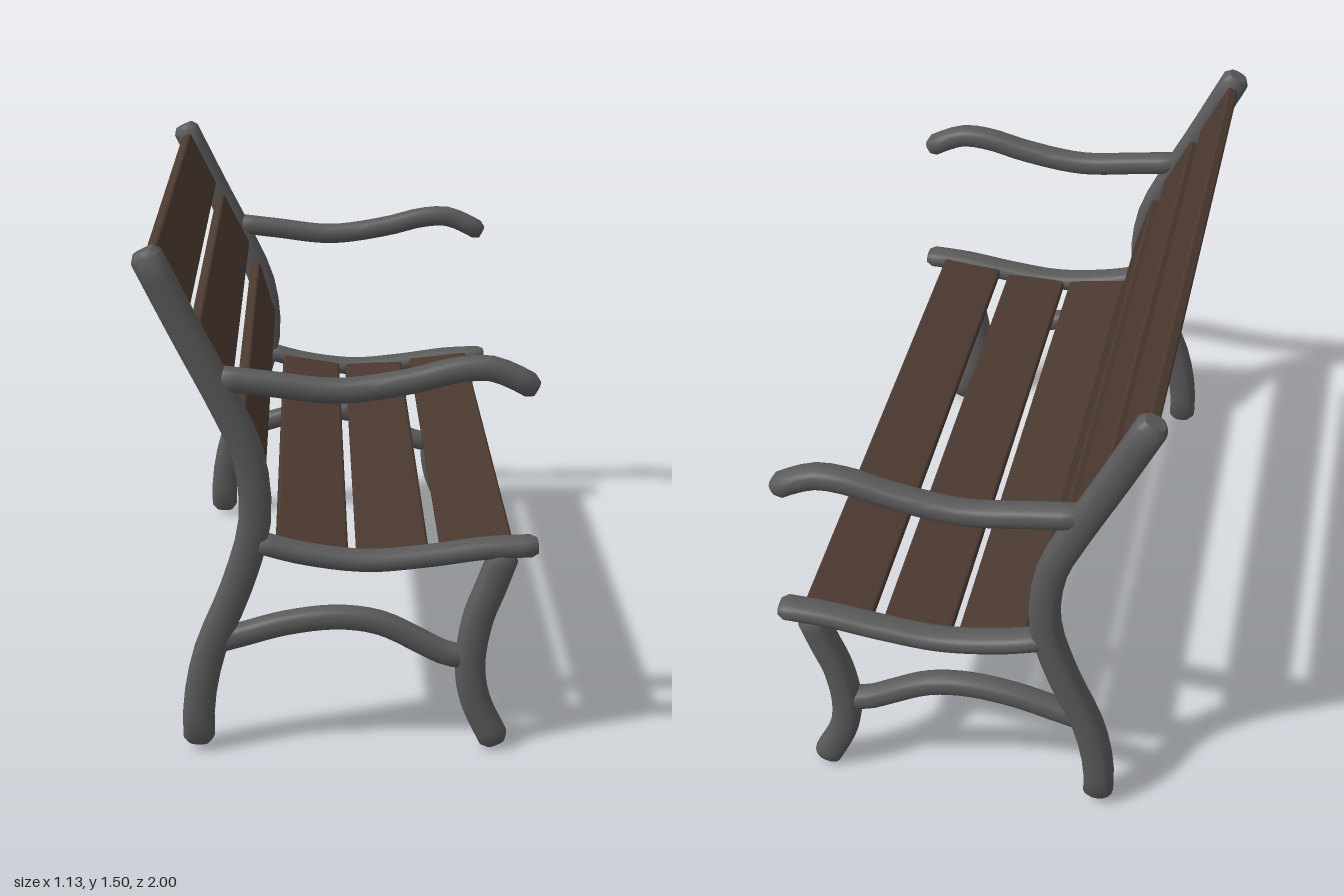
import * as THREE from 'three';
import { toCreasedNormals } from 'three/addons/utils/BufferGeometryUtils.js';
import { RoundedBoxGeometry } from 'three/addons/geometries/RoundedBoxGeometry.js';

const SIDES = 16;

// Sweep a rounded section along a path in the xy plane, with bevelled ends.
function sweep(path, thick, width, segments = 22) {
  const curve = new THREE.CatmullRomCurve3(path.map(([x, y]) => new THREE.Vector3(x, y, 0)));
  const bevel = 0.02 / curve.getLength();
  const rings = [[0, 0], [0, 0.68], [bevel, 1]];
  for (let i = 1; i < segments; i++) rings.push([bevel + (1 - 2 * bevel) * i / segments, 1]);
  rings.push([1 - bevel, 1], [1, 0.68], [1, 0]);

  const pos = [], index = [];
  const round = v => Math.sign(v) * Math.abs(v) ** 0.72;
  for (const [u, scale] of rings) {
    const p = curve.getPointAt(u), t = curve.getTangentAt(u);
    for (let j = 0; j < SIDES; j++) {
      const a = j / SIDES * Math.PI * 2;
      const n = round(Math.cos(a)) * thick / 2 * scale;
      pos.push(p.x - t.y * n, p.y + t.x * n, round(Math.sin(a)) * width / 2 * scale);
    }
  }
  for (let i = 0; i < rings.length - 1; i++) {
    for (let j = 0; j < SIDES; j++) {
      const a = i * SIDES + j, b = i * SIDES + (j + 1) % SIDES;
      const c = a + SIDES, d = b + SIDES;
      if (i > 0) index.push(a, b, c);
      if (i < rings.length - 2) index.push(b, d, c);
    }
  }
  // The two end fans share the collapsed first and last rings
  for (let j = 0; j < SIDES; j++) {
    const k = (j + 1) % SIDES;
    index.push(j, SIDES + k, SIDES + j);
  }
  const geo = new THREE.BufferGeometry();
  geo.setAttribute('position', new THREE.Float32BufferAttribute(pos, 3));
  geo.setIndex(index.filter((v, i, all) => true));
  return toCreasedNormals(geo, 0.75);
}

// Side frame members: name, thickness, width, path
const FRAME = [
  ['backPost', 0.092, 0.085, [[-0.405, 0.018], [-0.402, 0.14], [-0.37, 0.3], [-0.29, 0.5],
    [-0.238, 0.68], [-0.236, 0.8], [-0.258, 0.92], [-0.315, 1.05], [-0.42, 1.26], [-0.528, 1.482]]],
  ['armrest', 0.067, 0.078, [[-0.34, 1.122], [-0.2, 1.105], [0, 1.083], [0.2, 1.11],
    [0.33, 1.142], [0.42, 1.146], [0.48, 1.124], [0.547, 1.088]]],
  ['seatRail', 0.057, 0.085, [[-0.24, 0.64], [-0.1, 0.602], [0.08, 0.579], [0.25, 0.592],
    [0.42, 0.615], [0.565, 0.622]]],
  ['frontLeg', 0.088, 0.085, [[0.474, 0.61], [0.436, 0.5], [0.4, 0.4], [0.38, 0.26],
    [0.395, 0.15], [0.458, 0.01]]],
  ['legBrace', 0.066, 0.07, [[-0.36, 0.33], [-0.28, 0.352], [-0.15, 0.388], [0, 0.405],
    [0.12, 0.387], [0.24, 0.327], [0.3, 0.295], [0.38, 0.275]]],
];

// Slats: name, x, y, angle of the broad face
const SLATS = [
  ['seatSlatBack', -0.075, 0.598, -0.16],
  ['seatSlatMiddle', 0.155, 0.583, 0.04],
  ['seatSlatFront', 0.393, 0.61, 0.11],
  ['backSlatLower', -0.25, 0.885, Math.PI / 2 + 0.28],
  ['backSlatMiddle', -0.357, 1.14, Math.PI / 2 + 0.46],
  ['backSlatUpper', -0.474, 1.36, Math.PI / 2 + 0.46],
];

export function createModel() {
  const iron = new THREE.MeshStandardMaterial({ color: 0x5a5a5a });
  iron.name = 'iron grey';
  const wood = new THREE.MeshStandardMaterial({ color: 0x4a392f });
  wood.name = 'dark wood';
  const bench = new THREE.Group();
  bench.name = 'bench';

  // Two matching side frames
  const members = FRAME.map(([name, thick, width, path]) => [name, sweep(path, thick, width)]);
  for (const [side, z] of [['left', 0.957], ['right', -0.957]]) {
    const frame = new THREE.Group();
    frame.name = side + 'SideFrame';
    frame.position.z = z;
    for (const [name, geo] of members) {
      const mesh = new THREE.Mesh(geo, iron);
      mesh.name = name;
      frame.add(mesh);
    }
    bench.add(frame);
  }

  // Seat and back slats running between the frames
  const slatGeo = new RoundedBoxGeometry(0.207, 0.036, 1.86, 2, 0.009);
  for (const [name, x, y, angle] of SLATS) {
    const slat = new THREE.Mesh(slatGeo, wood);
    slat.name = name;
    slat.position.set(x, y, 0);
    slat.rotation.z = angle;
    bench.add(slat);
  }
  return bench;
}
